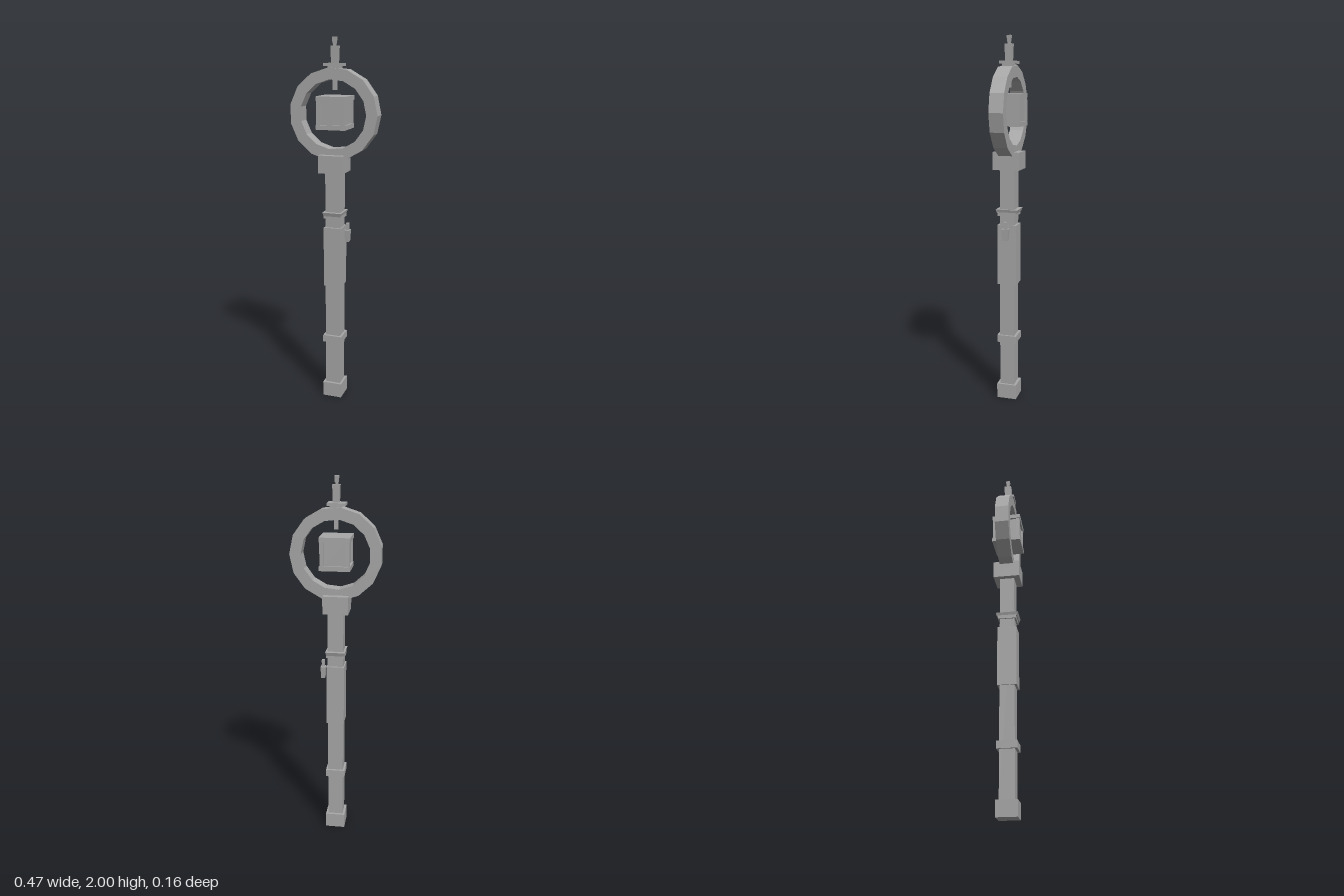
import * as THREE from 'three';

export function createModel() {
  const group = new THREE.Group();
  const grey = new THREE.MeshStandardMaterial({ color: 0xa8a8a8 });
  grey.name = 'grey';

  function add(name, geometry, parent = group) {
    const mesh = new THREE.Mesh(geometry, grey);
    mesh.name = name;
    parent.add(mesh);
    return mesh;
  }

  // Box between two heights; the bottom can be scaled for a taper
  function block(name, w, d, y0, y1, x = 0, z = 0, taper = 1, parent = group) {
    const g = new THREE.BoxGeometry(w, y1 - y0, d);
    const p = g.attributes.position;
    for (let i = 0; i < p.count; i++) {
      if (p.getY(i) < 0) p.setXYZ(i, p.getX(i) * taper, p.getY(i), p.getZ(i) * taper);
    }
    g.computeVertexNormals();
    const mesh = add(name, g, parent);
    mesh.position.set(x, (y0 + y1) / 2, z);
    return mesh;
  }

  // Staff
  block('foot', 0.108, 0.11, 0, 0.083);
  block('shaft', 0.084, 0.08, 0.08, 1.31);
  block('lowerBand', 0.106, 0.108, 0.335, 0.375);
  block('grip', 0.096, 0.104, 0.672, 1.005);
  block('collarLower', 0.098, 0.1, 1.055, 1.075);
  block('collarUpper', 0.106, 0.122, 1.07, 1.09, 0, 0, 0.9);
  block('headBlock', 0.135, 0.144, 1.305, 1.4, -0.003);

  // Hanging charm beside the grip
  const charm = new THREE.Group();
  charm.name = 'charm';
  group.add(charm);
  block('charmBody', 0.027, 0.04, 0.925, 0.99, 0.072, 0, 0.75, charm);
  block('charmStem', 0.015, 0.02, 0.99, 1.028, 0.072, 0, 1, charm);

  // Fifteen-sided ring
  const polygon = (path, r) => {
    for (let i = 0; i < 15; i++) {
      const a = (i / 15) * Math.PI * 2;
      path[i ? 'lineTo' : 'moveTo'](r * Math.cos(a), r * Math.sin(a));
    }
    path.closePath();
    return path;
  };
  const ringShape = polygon(new THREE.Shape(), 0.24);
  ringShape.holes.push(polygon(new THREE.Path(), 0.18));
  const ringGeo = new THREE.ExtrudeGeometry(ringShape, { depth: 0.076, bevelEnabled: false });
  ringGeo.translate(0, 1.61, -0.038);
  add('ring', ringGeo);

  // Framed cube in the ring
  const lantern = new THREE.Group();
  lantern.name = 'lantern';
  group.add(lantern);
  block('lanternCore', 0.138, 0.138, 1.54, 1.7, 0, 0, 1, lantern);
  block('lanternTop', 0.16, 0.16, 1.681, 1.705, 0, 0, 1, lantern);
  block('lanternBottom', 0.16, 0.16, 1.535, 1.559, 0, 0, 1, lantern);
  for (const x of [-1, 1]) {
    for (const z of [-1, 1]) {
      block('lanternPost', 0.02, 0.02, 1.55, 1.69, x * 0.067, z * 0.067, 1, lantern);
    }
  }
  block('hanger', 0.02, 0.02, 1.735, 1.8);

  // Finial
  block('finialSeat', 0.06, 0.06, 1.83, 1.857);
  block('finialPlate', 0.094, 0.084, 1.855, 1.87, -0.003);
  block('finialStem', 0.038, 0.04, 1.868, 1.957, 0, 0, 0.85);
  block('finialNeck', 0.014, 0.014, 1.955, 1.97, -0.002);
  block('finialTip', 0.023, 0.023, 1.967, 2, -0.002, 0, 0.8);

  return group;
}
